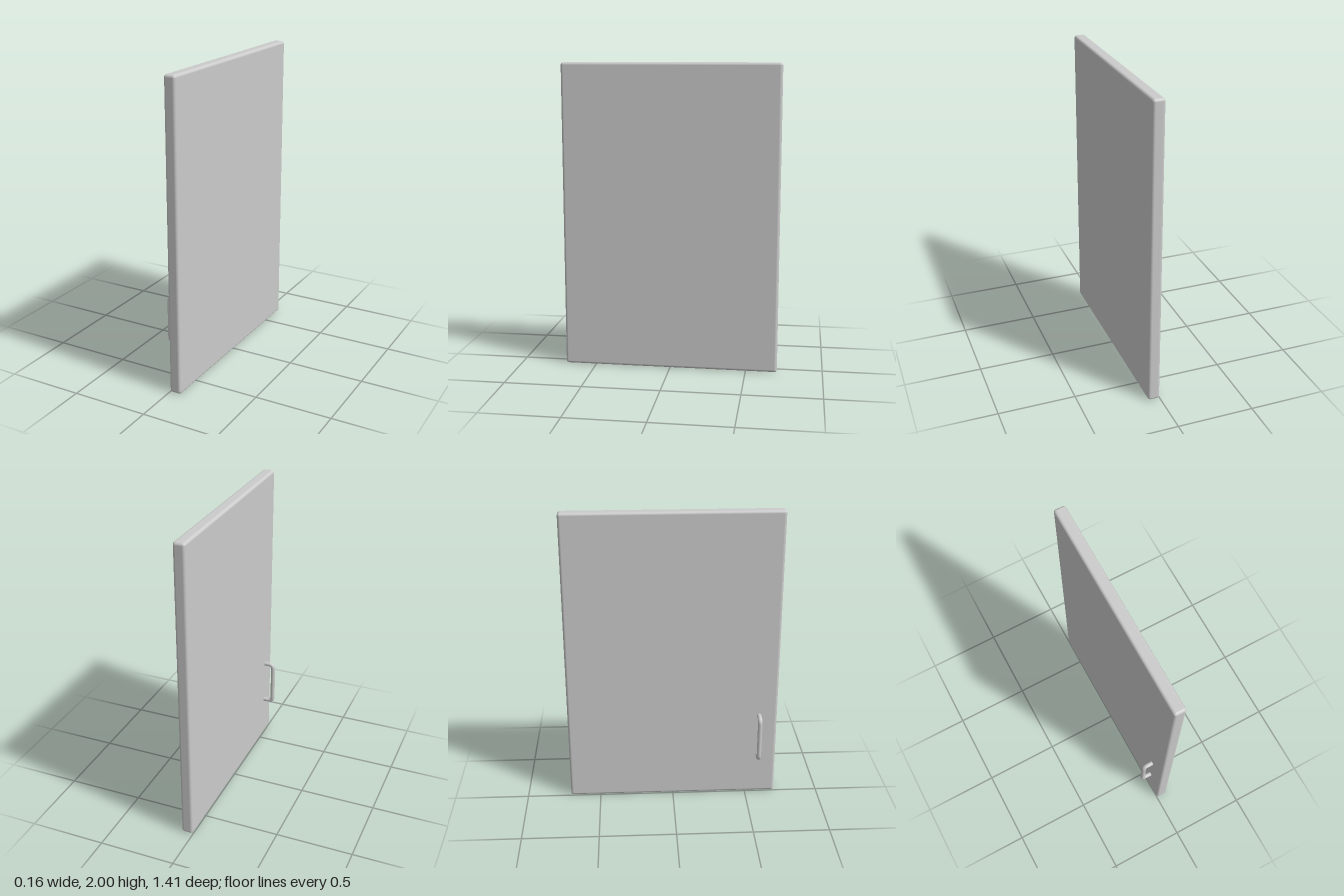
import * as THREE from 'three';
import { RoundedBoxGeometry } from 'three/addons/geometries/RoundedBoxGeometry.js';

// Pull handle centreline: two posts joined by a grip with rounded bends
function handlePath(reach, bottom, top, bend) {
  const v = (x, y) => new THREE.Vector3(x, y, 0);
  const path = new THREE.CurvePath();
  path.add(new THREE.LineCurve3(v(0.01, bottom), v(-reach + bend, bottom)));
  path.add(new THREE.QuadraticBezierCurve3(v(-reach + bend, bottom), v(-reach, bottom), v(-reach, bottom + bend)));
  path.add(new THREE.LineCurve3(v(-reach, bottom + bend), v(-reach, top - bend)));
  path.add(new THREE.QuadraticBezierCurve3(v(-reach, top - bend), v(-reach, top), v(-reach + bend, top)));
  path.add(new THREE.LineCurve3(v(-reach + bend, top), v(0.01, top)));
  return path;
}

export function createModel() {
  const group = new THREE.Group();
  const material = new THREE.MeshStandardMaterial({ color: 0xcccccc });

  // Door panel with softened edges
  const panel = new THREE.Mesh(new RoundedBoxGeometry(0.078, 2, 1.41, 4, 0.018), material);
  panel.name = 'doorPanel';
  panel.position.set(0.039, 1, 0);
  group.add(panel);

  // Bent bar handle near the front edge
  const path = handlePath(0.063, 0.289, 0.589, 0.032);
  const handle = new THREE.Mesh(new THREE.TubeGeometry(path, 120, 0.015, 16), material);
  handle.name = 'handle';
  handle.position.z = 0.583;
  group.add(handle);

  return group;
}
